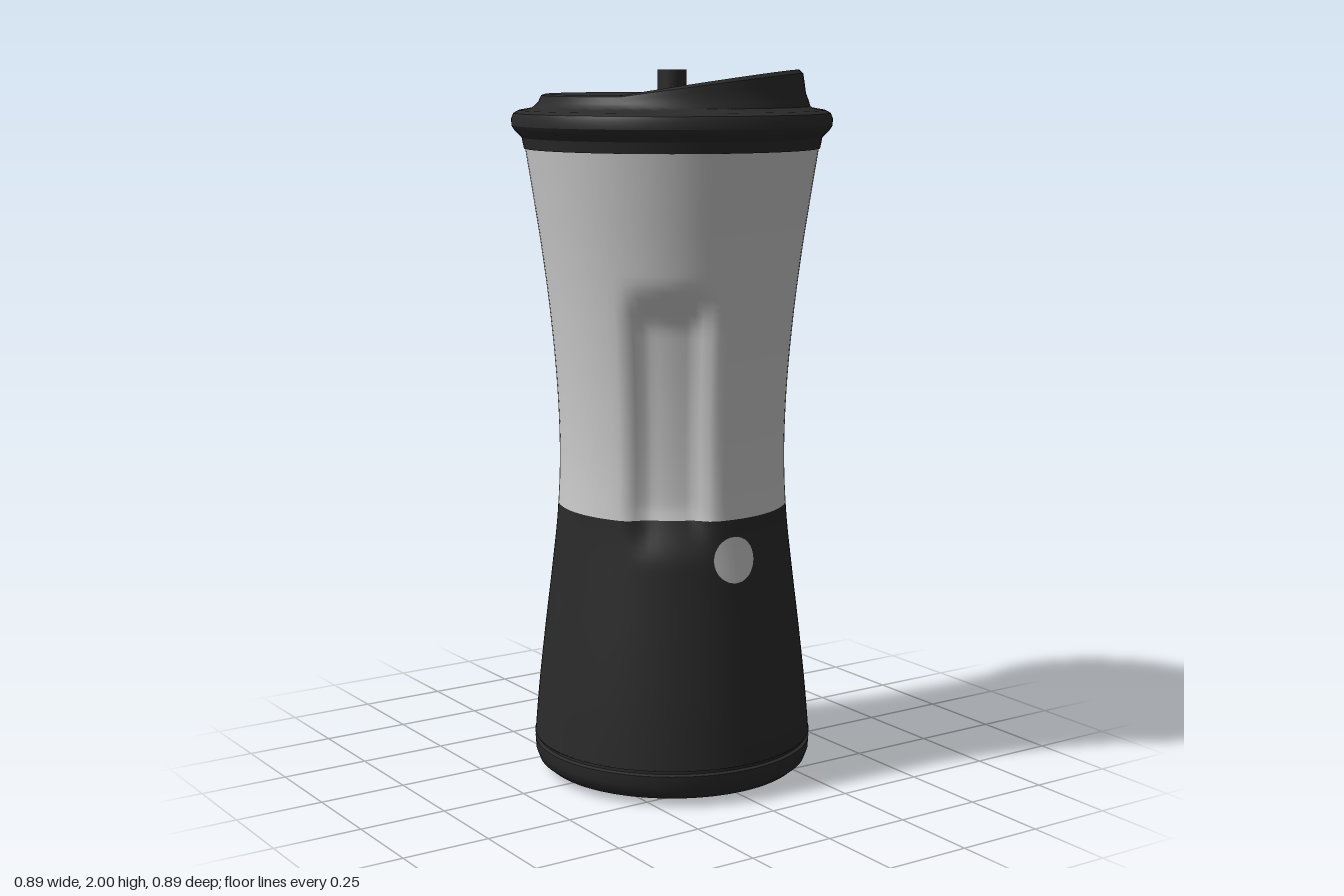
import * as THREE from 'three';
import { toCreasedNormals } from 'three/addons/utils/BufferGeometryUtils.js';

const { smoothstep, degToRad } = THREE.MathUtils;
const V = (x, y) => new THREE.Vector2(x, y);
const SEGMENTS = 96;
const SEAM_Y = 0.785; // where the dark sleeve meets the grey cup

// Waisted outline of the cup, radius against height
const outline = new THREE.SplineCurve([
  V(0.398, 0.1), V(0.385, 0.25), V(0.366, 0.42), V(0.344, 0.6), V(0.327, 0.76),
  V(0.32, 0.93), V(0.326, 1.12), V(0.343, 1.32), V(0.365, 1.5), V(0.389, 1.66), V(0.411, 1.8),
]).getPoints(120);

function bodyRadius(y) {
  const i = Math.max(1, outline.findIndex((p) => p.y >= y));
  const a = outline[i - 1], b = outline[i];
  return a.x + (b.x - a.x) * (y - a.y) / (b.y - a.y);
}

// Depth of the two opposite finger grips at an angle and height
function gripDepth(phi, y) {
  const tall = smoothstep(y, 0.66, 0.83) * (1 - smoothstep(y, 1.3, 1.45));
  let wide = 0;
  for (const centre of [-35, 145]) {
    const d = phi - degToRad(centre);
    const off = Math.abs(Math.atan2(Math.sin(d), Math.cos(d)));
    wide = Math.max(wide, 1 - smoothstep(off, degToRad(11), degToRad(23)));
  }
  return 0.04 * tall * wide;
}

function moveVertices(geometry, rule) {
  const pos = geometry.attributes.position;
  const v = new THREE.Vector3();
  for (let i = 0; i < pos.count; i++) {
    rule(v.fromBufferAttribute(pos, i));
    pos.setXYZ(i, v.x, v.y, v.z);
  }
  return geometry;
}

function part(name, geometry, color, crease = 0.6) {
  const material = new THREE.MeshStandardMaterial({ color, side: THREE.DoubleSide });
  const mesh = new THREE.Mesh(toCreasedNormals(geometry, crease), material);
  mesh.name = name;
  return mesh;
}

// One band of the cup wall, with the grips pressed in
function bodyBand(y0, y1, steps) {
  const points = [];
  for (let i = 0; i <= steps; i++) {
    const y = y0 + (y1 - y0) * i / steps;
    points.push(V(bodyRadius(y), y));
  }
  return moveVertices(new THREE.LatheGeometry(points, SEGMENTS), (v) => {
    const r = Math.hypot(v.x, v.z);
    const k = 1 - gripDepth(Math.atan2(v.x, v.z), v.y) / r;
    v.x *= k;
    v.z *= k;
  });
}

// Lid: stepped rim, and a raised top cut by a plane sloping across the diagonal
function lidGeometry() {
  const points = [
    V(0.395, 1.785), V(0.412, 1.785), V(0.418, 1.815), V(0.438, 1.835), V(0.446, 1.848),
    V(0.446, 1.868), V(0.44, 1.882), V(0.425, 1.89), V(0.39, 1.896), V(0.384, 1.9),
    V(0.379, 1.915), V(0.371, 1.935), V(0.367, 1.965), V(0.363, 1.988), V(0.352, 2),
  ];
  for (let i = 11; i >= 0; i--) points.push(V(0.35 * i / 12, 2));
  const foot = 1.9;
  return moveVertices(new THREE.LatheGeometry(points, SEGMENTS), (v) => {
    if (v.y <= foot) return;
    const top = Math.max(1.934, 1.945 + 0.157 * (v.x + v.z) * Math.SQRT1_2);
    v.y = foot + (v.y - foot) * (top - foot) / 0.1;
  });
}

export function createModel() {
  const DARK = 0x2a2a2a, GREY = 0xcccccc;
  const model = new THREE.Group();
  model.name = 'travelMug';

  model.add(part('cupWall', bodyBand(SEAM_Y, 1.795, 48), GREY, 0.8));
  model.add(part('gripSleeve', bodyBand(0.105, SEAM_Y, 36), DARK, 0.8));

  // Foot with rounded edge, a shadow groove above it and a slight boss below
  const base = [
    V(0, 0), V(0.13, 0), V(0.14, 0.008), V(0.33, 0.01), V(0.365, 0.017), V(0.386, 0.034),
    V(0.396, 0.06), V(0.398, 0.09), V(0.388, 0.094), V(0.388, 0.104), V(0.399, 0.108),
  ];
  model.add(part('base', new THREE.LatheGeometry(base, SEGMENTS), DARK));

  model.add(part('lid', lidGeometry(), DARK, 0.5));

  // Small pin standing in the middle of the lid
  const pin = part('lidPin', new THREE.CylinderGeometry(0.04, 0.04, 0.07, 32), DARK);
  pin.position.y = 1.965;
  model.add(pin);

  // Round button following the curve of the sleeve
  const button = moveVertices(new THREE.RingGeometry(0, 0.065, 40, 5), (v) => {
    v.x -= 0.018;
    v.y += 0.675;
    v.z = Math.sqrt((bodyRadius(v.y) + 0.004) ** 2 - v.x ** 2);
  });
  model.add(part('button', button, GREY));

  return model;
}
